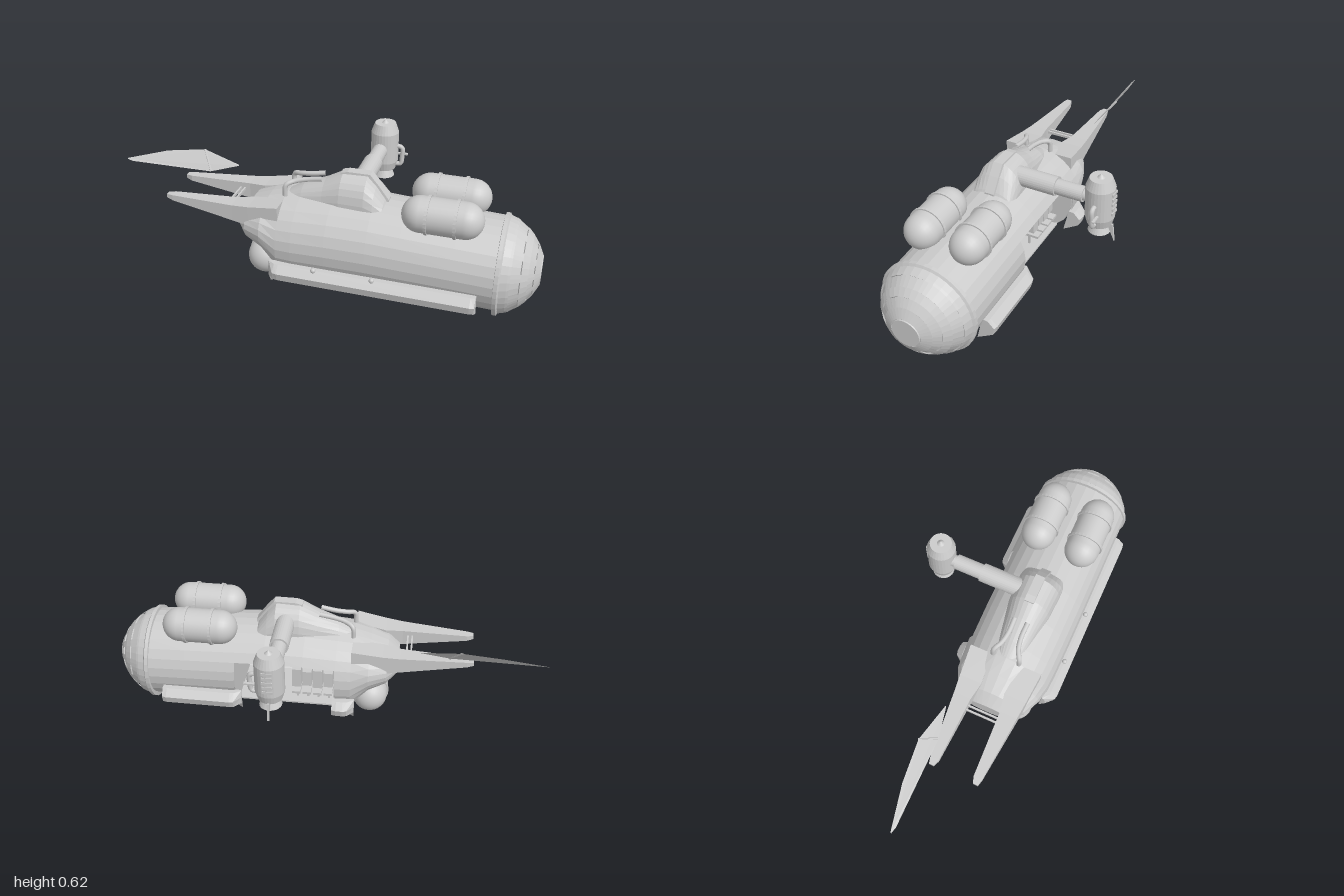
import * as THREE from 'three';

const CZ = 0.135; // z of the hull's centre line
const flat = new THREE.MeshStandardMaterial({ color: 0xcccccc, flatShading: true, side: THREE.DoubleSide });
const smooth = new THREE.MeshStandardMaterial({ color: 0xcccccc });

function add(parent, name, geo, mat = flat, x = 0, y = 0, z = 0) {
  const m = new THREE.Mesh(geo, mat);
  m.name = name;
  m.position.set(x, y, z);
  parent.add(m);
  return m;
}

function group(parent, name) {
  const g = new THREE.Group();
  g.name = name;
  parent.add(g);
  return g;
}

// Skin over rings of points; skip(r, i) leaves a face out
function loft(rings, { caps = true, skip = () => false } = {}) {
  const n = rings[0].length, idx = [];
  for (let r = 0; r < rings.length - 1; r++)
    for (let i = 0; i < n; i++) {
      if (skip(r, i)) continue;
      const j = (i + 1) % n, a = r * n, b = a + n;
      idx.push(a + i, b + i, b + j, a + i, b + j, a + j);
    }
  if (caps)
    for (const a of [0, (rings.length - 1) * n])
      for (let i = 1; i < n - 1; i++) idx.push(a, a + i, a + i + 1);
  const g = new THREE.BufferGeometry();
  g.setAttribute('position', new THREE.Float32BufferAttribute(rings.flat(2), 3));
  g.setIndex(idx);
  g.computeVertexNormals();
  return g;
}

const ellipse = (x, cy, ry, rz, n) => Array.from({ length: n }, (_, i) => {
  const t = (i / n) * Math.PI * 2;
  return [x, cy + ry * Math.cos(t), CZ + rz * Math.sin(t)];
});

const v2 = (p) => p.map(([a, b]) => new THREE.Vector2(a, b));

// Banded capsule lying along x
function tank(parent, name, x, y, z, r, length) {
  const g = group(parent, name);
  g.position.set(x, y, z);
  add(g, 'tankBody', new THREE.CapsuleGeometry(r, length - 2 * r, 8, 28), smooth).rotation.z = Math.PI / 2;
  for (const s of [-1, 1])
    add(g, 'tankBand', new THREE.CylinderGeometry(r + 0.006, r + 0.006, 0.012, 28), flat, s * 0.06).rotation.z = Math.PI / 2;
  return g;
}

function buildHull(root) {
  const N = 28;
  const hull = group(root, 'hull');
  // x, centre height, half height, half width
  const stations = [
    [-0.33, 0.28, 0.045, 0.1], [-0.28, 0.28, 0.095, 0.165], [-0.2, 0.275, 0.13, 0.2],
    [-0.12, 0.23, 0.198, 0.213], [-0.05, 0.23, 0.205, 0.217], [0.1, 0.235, 0.21, 0.219],
    [0.28, 0.236, 0.211, 0.219], [0.42, 0.232, 0.207, 0.218], [0.65, 0.225, 0.202, 0.216], [0.83, 0.218, 0.202, 0.214],
  ];
  // Side hatchway is left open on the -z side
  add(hull, 'hullShell', loft(stations.map((s) => ellipse(...s, N)),
    { skip: (r, i) => r >= 4 && r <= 6 && i >= 17 && i <= 22 }));
  // Cabin behind the hatchway
  for (const k of [4, 7]) {
    const [x, cy, ry, rz] = stations[k];
    add(hull, 'bulkhead', loft([ellipse(x - 0.004, cy, ry - 0.006, rz - 0.006, N), ellipse(x + 0.004, cy, ry - 0.006, rz - 0.006, N)]));
  }
  add(hull, 'cabinFloor', new THREE.BoxGeometry(0.47, 0.008, 0.25), flat, 0.185, 0.066, 0.125);
  const desk = group(hull, 'controlDesk');
  for (let i = 0; i < 4; i++) {
    const x = -0.01 + i * 0.05;
    add(desk, 'cabinet', new THREE.BoxGeometry(0.042, 0.08 + 0.02 * (i % 2), 0.05), flat, x, 0.2, 0.04);
    add(desk, 'shelf', new THREE.BoxGeometry(0.04, 0.012, 0.07), flat, x, 0.13, 0.03);
    add(desk, 'leg', new THREE.BoxGeometry(0.01, 0.09, 0.01), flat, x, 0.11, 0.05);
  }
  add(hull, 'seat', new THREE.BoxGeometry(0.09, 0.07, 0.1), flat, 0.3, 0.1, CZ);
  add(hull, 'seatBack', new THREE.BoxGeometry(0.02, 0.13, 0.1), flat, 0.255, 0.19, CZ);

  // Side sponsons: whole on +z, broken by the hatchway on -z
  const profile = [[0.2, 0.168], [0.228, 0.166], [0.259, 0.135], [0.25, 0.1], [0.17, 0.055]];
  const sponson = (side, x0, x1) => {
    const ring = (x, k) => profile.map(([d, y]) => [x, y, CZ + side * (0.2 + (d - 0.2) * k)]);
    add(hull, 'sponson', loft([ring(x0 - 0.03, 0.3), ring(x0, 0.92), ring(x0 + 0.02, 1), ring(x1 - 0.02, 1), ring(x1, 0.92)]));
  };
  sponson(1, -0.12, 0.76);
  sponson(-1, -0.11, -0.04);
  sponson(-1, 0.42, 0.76);
  for (const x of [0.06, 0.32]) add(hull, 'stud', new THREE.SphereGeometry(0.012, 12, 8), smooth, x, 0.166, 0.362);
}

function buildNose(root) {
  const nose = group(root, 'nose');
  nose.position.set(0, 0.212, CZ);
  nose.rotation.z = -Math.PI / 2; // lathe axis points along +x
  add(nose, 'collar', new THREE.LatheGeometry(v2([[0.2, 0.82], [0.222, 0.824], [0.222, 0.84], [0.21, 0.847]]), 40));
  const outline = [[0.212, 0.845], [0.203, 0.875], [0.198, 0.885], [0.17, 0.925], [0.143, 0.952], [0.11, 0.976], [0.068, 0.997]];
  const inner = outline.map(([r, x]) => [r - 0.005, x - 0.004]);
  add(nose, 'domeGlass', new THREE.LatheGeometry(v2(inner), 36));
  // Frame hoops and ribs stand proud of the panes
  for (const [a, b] of [[0, 2], [3, 4], [5, 6]])
    add(nose, 'domeHoop', new THREE.LatheGeometry(v2([inner[a], ...outline.slice(a, b + 1), inner[b]]), 36));
  for (let i = 0; i < 12; i++)
    for (const [a, b, w] of [[2, 3, 0.2], [4, 5, 0.24]])
      add(nose, 'domeRib', new THREE.LatheGeometry(v2(outline.slice(a, b + 1)), 2, ((i + 0.5) / 12) * Math.PI * 2 - w / 2, w));
  add(nose, 'frontWindow', new THREE.LatheGeometry(v2([[0.068, 0.993], [0.064, 1], [0, 1]]), 36));
}

function buildTop(root) {
  const top = group(root, 'topFairing');
  const dome = (x, w, h) => Array.from({ length: 15 }, (_, i) => {
    const t = (i / 14) * Math.PI;
    return [x, 0.38 + (h - 0.38) * Math.pow(Math.max(0, Math.sin(t)), 0.7), CZ + w * Math.cos(t)];
  });
  add(top, 'fairing', loft([
    dome(-0.13, 0.05, 0.42), dome(-0.05, 0.07, 0.465), dome(0.05, 0.085, 0.505), dome(0.13, 0.1, 0.548),
    dome(0.24, 0.105, 0.552), dome(0.28, 0.105, 0.51), dome(0.32, 0.1, 0.455), dome(0.34, 0.08, 0.42),
  ]));
  // Raised rib running over the front slope
  const bar = (x, y) => [[x, y - 0.03, CZ - 0.025], [x, y, CZ - 0.022], [x, y, CZ + 0.022], [x, y - 0.03, CZ + 0.025]];
  add(top, 'frontRib', loft([bar(0.12, 0.548), bar(0.15, 0.556), bar(0.25, 0.557), bar(0.29, 0.51), bar(0.335, 0.45)]));
  for (const s of [-1, 1]) {
    const path = new THREE.CatmullRomCurve3([[-0.12, 0.42, 0.062], [-0.115, 0.472, 0.06], [-0.08, 0.487, 0.04], [-0.03, 0.497, 0.03], [0.04, 0.51, 0.03]]
      .map(([x, y, z]) => new THREE.Vector3(x, y, CZ + s * z)));
    add(top, 'airPipe', new THREE.TubeGeometry(path, 20, 0.011, 10), smooth);
  }
}

function buildTail(root) {
  const tail = group(root, 'tail');
  for (const s of [-1, 1]) {
    // x, top, bottom, inner and outer distance from the centre line
    const ring = ([x, t, b, i, o]) => [[x, t, CZ + s * i], [x, t, CZ + s * o], [x, b, CZ + s * o], [x, b, CZ + s * i]];
    add(tail, 'tailBoom', loft([
      [-0.12, 0.41, 0.3, 0.07, 0.17], [-0.26, 0.388, 0.295, 0.055, 0.158], [-0.34, 0.38, 0.305, 0.07, 0.15],
      [-0.64, 0.368, 0.342, 0.082, 0.122], [-0.67, 0.366, 0.348, 0.092, 0.115],
    ].map(ring)));
  }
  for (const x of [-0.365, -0.385]) add(tail, 'crossBar', new THREE.BoxGeometry(0.008, 0.012, 0.17), flat, x, 0.35, CZ);
  // Thin leaning blade, folded along its middle
  const blade = [[-1, 0.386, 0.003], [-0.8, 0.437, -0.035], [-0.61, 0.463, -0.05], [-0.425, 0.425, -0.015], [-0.56, 0.388, 0.01], [-0.97, 0.383, 0.01]];
  add(tail, 'tailBlade', loft([blade, blade.map(([x, y, z]) => [x, y - 0.004, z + 0.004])]));
  const hinge = new THREE.LineCurve3(new THREE.Vector3(-0.61, 0.463, -0.05), new THREE.Vector3(-0.56, 0.388, 0.01));
  add(tail, 'bladeSpar', new THREE.TubeGeometry(hinge, 1, 0.005, 6));
}

function buildArm(root) {
  const arm = group(root, 'sideArm');
  const rod = (name, r, z0, z1) => add(arm, name, new THREE.CylinderGeometry(r, r, z0 - z1, 28), flat, 0.192, 0.479, (z0 + z1) / 2).rotateX(Math.PI / 2);
  rod('armSleeve', 0.043, 0.1, -0.12);
  rod('armRod', 0.035, -0.12, -0.247);
  rod('armCollar', 0.027, -0.247, -0.28);

  // Upright pod at the end of the arm
  const pod = group(arm, 'pod');
  pod.position.set(0.197, 0, -0.323);
  add(pod, 'podBody', new THREE.LatheGeometry(v2([[0, 0.365], [0.054, 0.365], [0.065, 0.405], [0.065, 0.55], [0.049, 0.594], [0.017, 0.594], [0, 0.611]]), 28));
  add(pod, 'nozzle', new THREE.LatheGeometry(v2([[0.032, 0.37], [0.05, 0.325], [0.044, 0.325], [0.028, 0.365]]), 28));
  const grip = new THREE.CatmullRomCurve3([[0.05, 0.39], [0.08, 0.394], [0.086, 0.43], [0.084, 0.475], [0.05, 0.483]]
    .map(([x, y]) => new THREE.Vector3(x, y, 0)));
  add(pod, 'grip', new THREE.TubeGeometry(grip, 20, 0.011, 10), smooth);
  add(pod, 'trigger', new THREE.BoxGeometry(0.05, 0.008, 0.012), flat, 0.085, 0.437, -0.016);
  const fin = new THREE.Shape(v2([[0.035, 0.37], [0.062, 0.37], [0.071, 0.286]]));
  const finGeo = new THREE.ExtrudeGeometry(fin, { depth: 0.01, bevelEnabled: false }).translate(0, 0, -0.005);
  add(pod, 'podFin', finGeo).rotation.y = Math.PI / 2;
  for (let i = 0; i < 5; i++)
    add(pod, 'podRib', new THREE.BoxGeometry(0.045, 0.012, 0.012), flat, 0, 0.435 + i * 0.024, -0.061);
}

export function createModel() {
  const root = new THREE.Group();
  root.name = 'submersible';
  buildHull(root);
  buildNose(root);
  buildTop(root);
  buildTail(root);
  buildArm(root);
  for (const s of [-1, 1]) {
    tank(root, 'topTank', 0.583, 0.455, CZ + s * 0.107, 0.079, 0.345);
    add(root, 'tankCradle', new THREE.BoxGeometry(0.24, 0.08, 0.09), flat, 0.583, 0.385, CZ + s * 0.085);
  }
  // Cross-mounted tank under the stern
  tank(root, 'sternTank', -0.205, 0.122, CZ, 0.081, 0.345).rotation.y = Math.PI / 2;
  return root;
}
